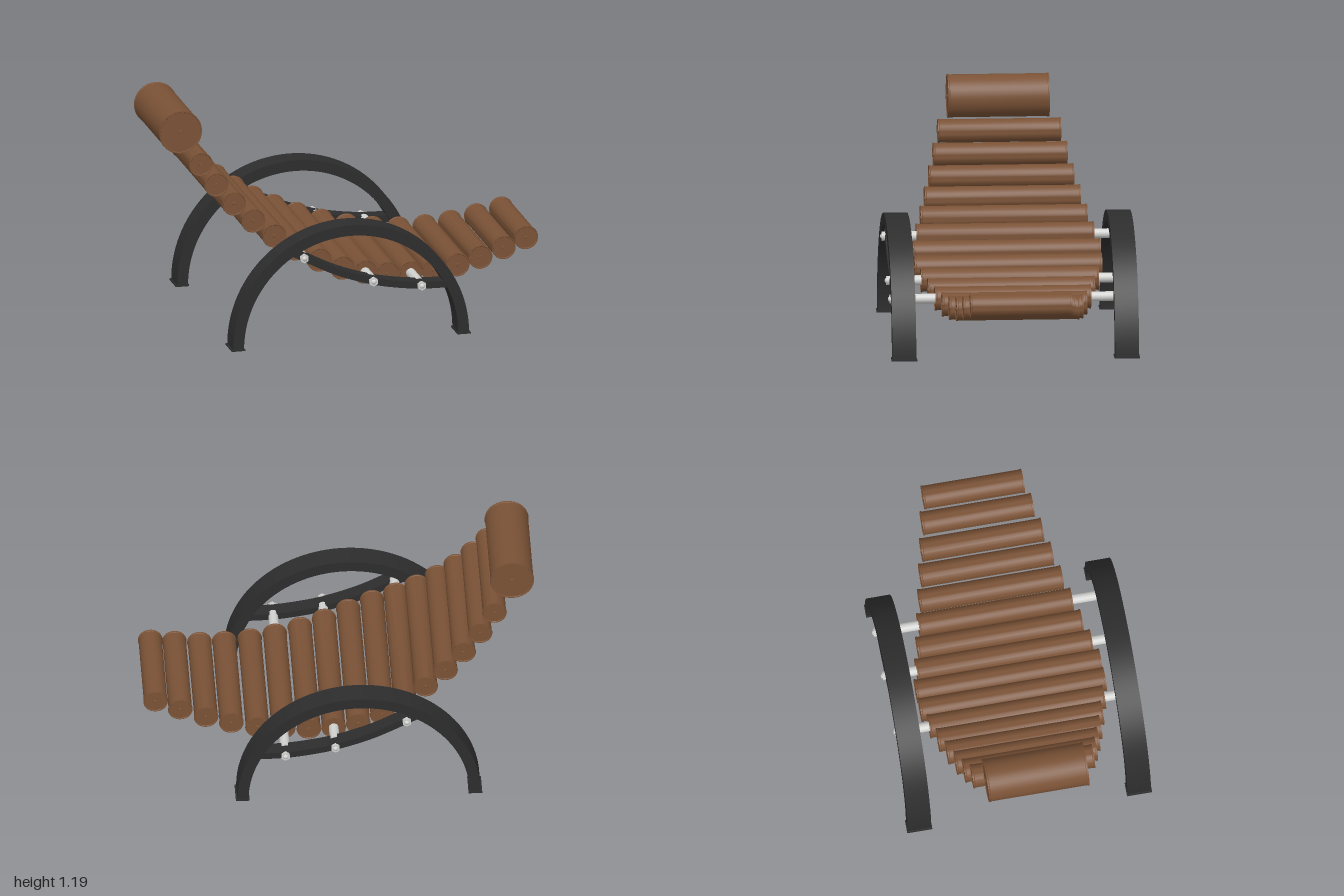
import * as THREE from 'three';
import { toCreasedNormals } from 'three/addons/utils/BufferGeometryUtils.js';

const mat = (name, color) => {
  const m = new THREE.MeshStandardMaterial({ color });
  m.name = name;
  return m;
};

// Bolster centres and half lengths, head to foot: [x, y, half length]
const ROLLS = [
  [-0.795, 0.912, 0.315], [-0.72, 0.805, 0.343], [-0.634, 0.706, 0.371],
  [-0.54, 0.616, 0.399], [-0.437, 0.537, 0.427], [-0.33, 0.467, 0.455],
  [-0.212, 0.405, 0.48], [-0.09, 0.353, 0.48], [0.035, 0.314, 0.455],
  [0.16, 0.288, 0.427], [0.29, 0.272, 0.399], [0.42, 0.268, 0.371],
  [0.552, 0.278, 0.343], [0.68, 0.3, 0.315], [0.81, 0.333, 0.288], [0.935, 0.368, 0.26],
];
const BOLTED = [5, 8, 10];

export function createModel() {
  const leather = mat('brown leather', 0x7a5236);
  const black = mat('black frame', 0x2d2d2e);
  const steel = mat('pale steel', 0xd2d2d0);
  const model = new THREE.Group();

  const add = (name, geometry, material, x, y, z, parent = model) => {
    const mesh = new THREE.Mesh(geometry, material);
    mesh.name = name;
    mesh.position.set(x, y, z);
    parent.add(mesh);
    return mesh;
  };

  // Upholstered roll with piped rims and a small button at each end
  const roll = (name, x, y, half, r) => {
    const end = [
      [0, half + 0.003], [0.007, half + 0.002], [0.009, half - 0.003], [r - 0.007, half - 0.003],
      [r - 0.005, half], [r, half], [r + 0.001, half - 0.004], [r, half - 0.008], [r - 0.002, half - 0.01],
    ];
    const mirrored = end.map(([a, b]) => [a, -b]);
    const profile = [...mirrored, ...end.reverse()].map(([a, b]) => new THREE.Vector2(a, b));
    const g = toCreasedNormals(new THREE.LatheGeometry(profile, 40), 0.6);
    g.rotateX(Math.PI / 2);
    add(name, g, leather, x, y, 0);
  };
  roll('headRoll', -0.888, 1.075, 0.26, 0.112);
  ROLLS.forEach(([x, y, half], i) => roll(`seatRoll${i + 1}`, x, y, half, 0.062));

  // Half-circle arch used on both sides
  const CX = -0.085;
  const arch = new THREE.Shape();
  arch.moveTo(0.622, 0);
  arch.absarc(0, 0.006, 0.622, 0, Math.PI, false);
  arch.lineTo(-0.622, 0);
  arch.lineTo(-0.565, 0);
  arch.absarc(0, 0.006, 0.565, Math.PI, 0, true);
  arch.lineTo(0.565, 0);
  const archGeo = toCreasedNormals(new THREE.ExtrudeGeometry(arch, {
    depth: 0.122, bevelEnabled: false, curveSegments: 48,
  }), 0.6);
  archGeo.translate(0, 0, -0.061);

  // Curved bar below each arch, a strip following the bolts
  const curve = new THREE.CatmullRomCurve3([
    [-0.405, 0.505], [-0.33, 0.467], [-0.15, 0.377], [0.035, 0.314],
    [0.16, 0.288], [0.29, 0.272], [0.46, 0.268],
  ].map(([x, y]) => new THREE.Vector3(x, y, 0)));
  const upper = [], lower = [];
  for (let i = 0; i <= 32; i++) {
    const p = curve.getPoint(i / 32), t = curve.getTangent(i / 32);
    upper.push(new THREE.Vector2(p.x - t.y * 0.018, p.y + t.x * 0.018));
    lower.unshift(new THREE.Vector2(p.x + t.y * 0.018, p.y - t.x * 0.018));
  }
  const railGeo = toCreasedNormals(new THREE.ExtrudeGeometry(
    new THREE.Shape([...lower, ...upper]), { depth: 0.08, bevelEnabled: false }), 0.6);
  railGeo.translate(0, 0, -0.04);

  for (const [side, s] of [['front', 1], ['back', -1]]) {
    const frame = new THREE.Group();
    frame.name = `${side}Frame`;
    model.add(frame);
    add('arch', archGeo, black, CX, 0, s * 0.57, frame);
    for (const f of [-1, 1]) {
      add('footPlate', new THREE.BoxGeometry(0.07, 0.008, 0.13), black, CX + f * 0.595, 0.004, s * 0.57, frame);
    }
    add('supportRail', railGeo, black, 0, 0, s * 0.575, frame);

    // Steel spacers, nuts and domed bolt ends
    for (const i of BOLTED) {
      const [x, y, half] = ROLLS[i];
      const inner = half - 0.02, outer = 0.56;
      const rod = new THREE.CylinderGeometry(0.025, 0.025, outer - inner, 20).rotateX(Math.PI / 2);
      add('spacerRod', rod, steel, x, y, s * (inner + outer) / 2, frame);
      const nut = new THREE.CylinderGeometry(0.024, 0.024, 0.018, 6).rotateX(Math.PI / 2);
      add('nut', nut, steel, x, y, s * 0.622, frame);
      const dome = new THREE.SphereGeometry(0.014, 16, 10);
      dome.scale(1, 1, 0.8);
      add('boltEnd', dome, steel, x, y, s * 0.628, frame);
    }
  }
  return model;
}
